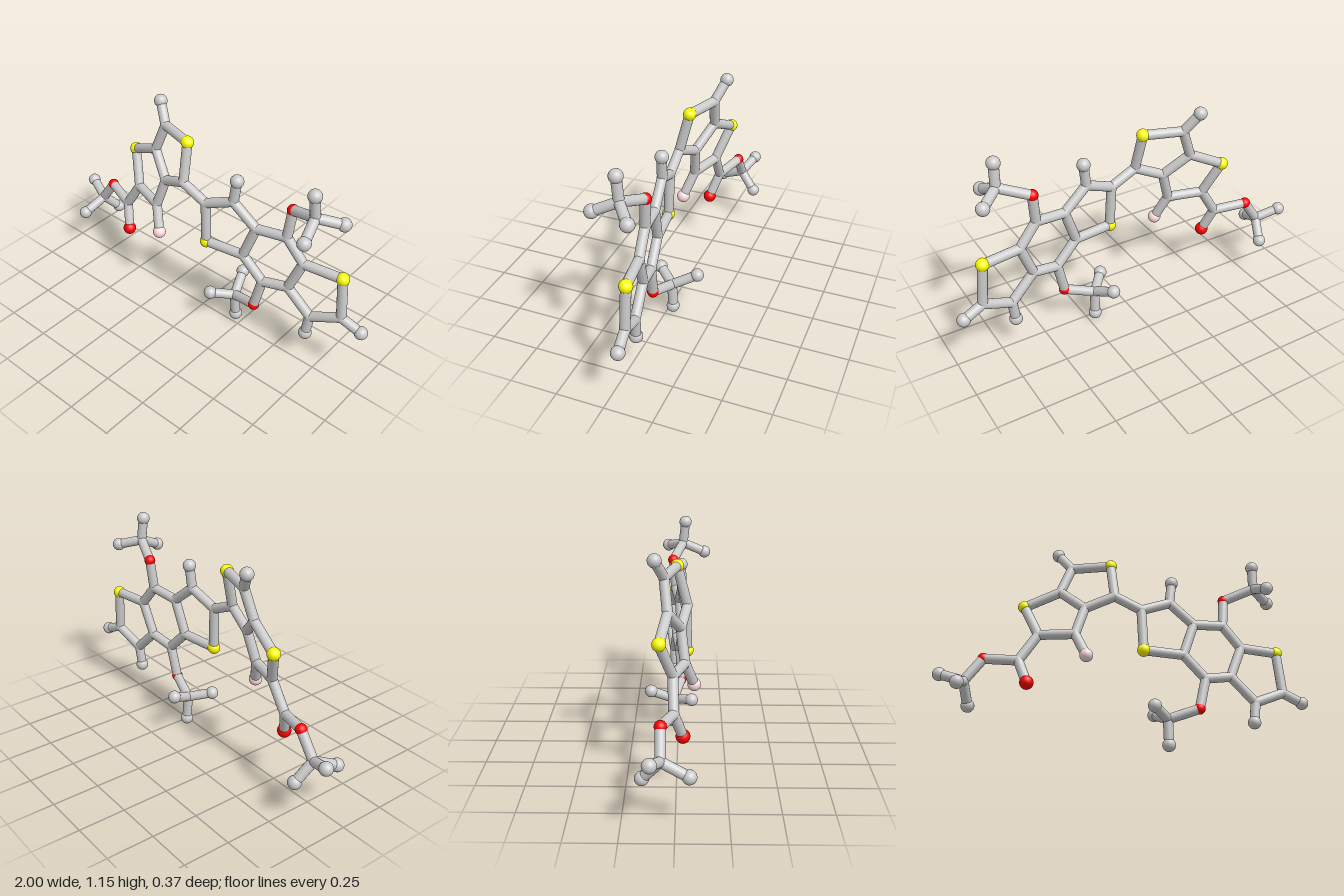
import * as THREE from 'three';

const BOND_RADIUS = 0.026;
const UP = new THREE.Vector3(0, 1, 0);
const material = (color) => new THREE.MeshStandardMaterial({ color });

// atom kinds: radius, material and readable name
const grey = material(0xcccccc), red = material(0xff0000);
const KINDS = {
  c: { radius: 0.027, mat: grey, name: 'carbonJoint' },
  h: { radius: 0.035, mat: grey, name: 'hydrogenBall' },
  s: { radius: 0.034, mat: material(0xffff00), name: 'sulfurBall' },
  o: { radius: 0.03, mat: red, name: 'bridgeOxygenBall' },
  d: { radius: 0.036, mat: red, name: 'endOxygenBall' },
  f: { radius: 0.035, mat: material(0xffdde2), name: 'fluorineBall' },
};

// The two ring systems are flat: z follows from x and y
const leftPlane = (x, y) => 0.05 + 0.3 * (x + 0.09) - 0.22 * (y - 0.815);
const rightPlane = (x, y) => 0.05 - 0.14 * (x - 0.065) - 0.03 * (y - 0.515);

function addBond(group, a, b) {
  const dir = b.clone().sub(a);
  const bond = new THREE.Mesh(
    new THREE.CylinderGeometry(BOND_RADIUS, BOND_RADIUS, dir.length(), 20, 1, true), grey);
  bond.position.copy(a).addScaledVector(dir, 0.5);
  bond.quaternion.setFromUnitVectors(UP, dir.normalize());
  bond.name = 'bond';
  group.add(bond);
}

// atoms: { id: [x, y, z?] }, the first letter of the id is the kind;
// chains: strings of ids to be joined one after another
function buildPart(name, atoms, chains, plane, known) {
  const group = new THREE.Group();
  group.name = name;
  for (const [id, [x, y, z]] of Object.entries(atoms)) {
    const kind = KINDS[id[0]];
    const ball = new THREE.Mesh(new THREE.SphereGeometry(kind.radius, 24, 16), kind.mat);
    ball.position.set(x, y, z ?? plane(x, y));
    ball.name = kind.name;
    known[id] = ball.position;
    group.add(ball);
  }
  for (const chain of chains) {
    const ids = chain.split(' ');
    for (let i = 1; i < ids.length; i++) addBond(group, known[ids[i - 1]], known[ids[i]]);
  }
  return group;
}

export function createModel() {
  const model = new THREE.Group();
  model.name = 'molecule';
  const known = {};
  const add = (...args) => model.add(buildPart(...args, known));

  // two fused five-sided rings
  add('leftRings', {
    h1: [-0.38, 1.12], c1: [-0.31, 1.02], s1: [-0.105, 1.025], c2: [-0.09, 0.815],
    c3: [-0.245, 0.745], c4: [-0.37, 0.86], s2: [-0.555, 0.77], c5: [-0.48, 0.585],
    c6: [-0.295, 0.58], f1: [-0.24, 0.445],
  }, ['h1 c1 s1 c2 c3 c4 c1', 'c4 s2 c5 c6 c3', 'c6 f1'], leftPlane);

  // ester arm with its methyl end
  add('esterArm', {
    c7: [-0.575, 0.43], d1: [-0.53, 0.295], o1: [-0.75, 0.45], c20: [-0.84, 0.32],
    h2: [-0.965, 0.365, -0.11], h3: [-0.87, 0.26, 0.065], h4: [-0.81, 0.22, -0.152],
  }, ['c5 c7 d1', 'c7 o1 c20 h2', 'h3 c20 h4'], leftPlane);

  // three fused rings, joined to the left pair
  add('rightRings', {
    c8: [0.055, 0.75], c9: [0.215, 0.82], h9: [0.23, 0.945], s3: [0.065, 0.515],
    c10: [0.35, 0.71], c11: [0.285, 0.52], c12: [0.52, 0.73], c13: [0.62, 0.61],
    c14: [0.55, 0.43], c15: [0.405, 0.4], s4: [0.83, 0.61], c16: [0.85, 0.375],
    c17: [0.685, 0.3], h16: [0.96, 0.33], h17: [0.67, 0.185],
  }, ['c2 c8 c9 c10 c11 s3 c8', 'c9 h9', 'c10 c12 c13 c14 c15 c11',
    'c13 s4 c16 c17 c14', 'c16 h16', 'c17 h17'], rightPlane);

  // methoxy arms above and below the middle ring
  add('upperMethoxyArm', {
    o3: [0.535, 0.892, -0.033], c18: [0.695, 0.955, 0.022], h5: [0.69, 1.08, 0.035],
    h6: [0.725, 0.895, 0.147], h7: [0.8, 0.918, -0.065],
  }, ['c12 o3 c18 h5', 'h6 c18 h7'], rightPlane);

  add('lowerMethoxyArm', {
    o4: [0.365, 0.225, 0.016], c19: [0.205, 0.172, -0.025], h10: [0.21, 0.036, -0.032],
    h11: [0.115, 0.203, 0.075], h12: [0.16, 0.235, -0.15],
  }, ['c15 o4 c19 h10', 'h11 c19 h12'], rightPlane);

  return model;
}
